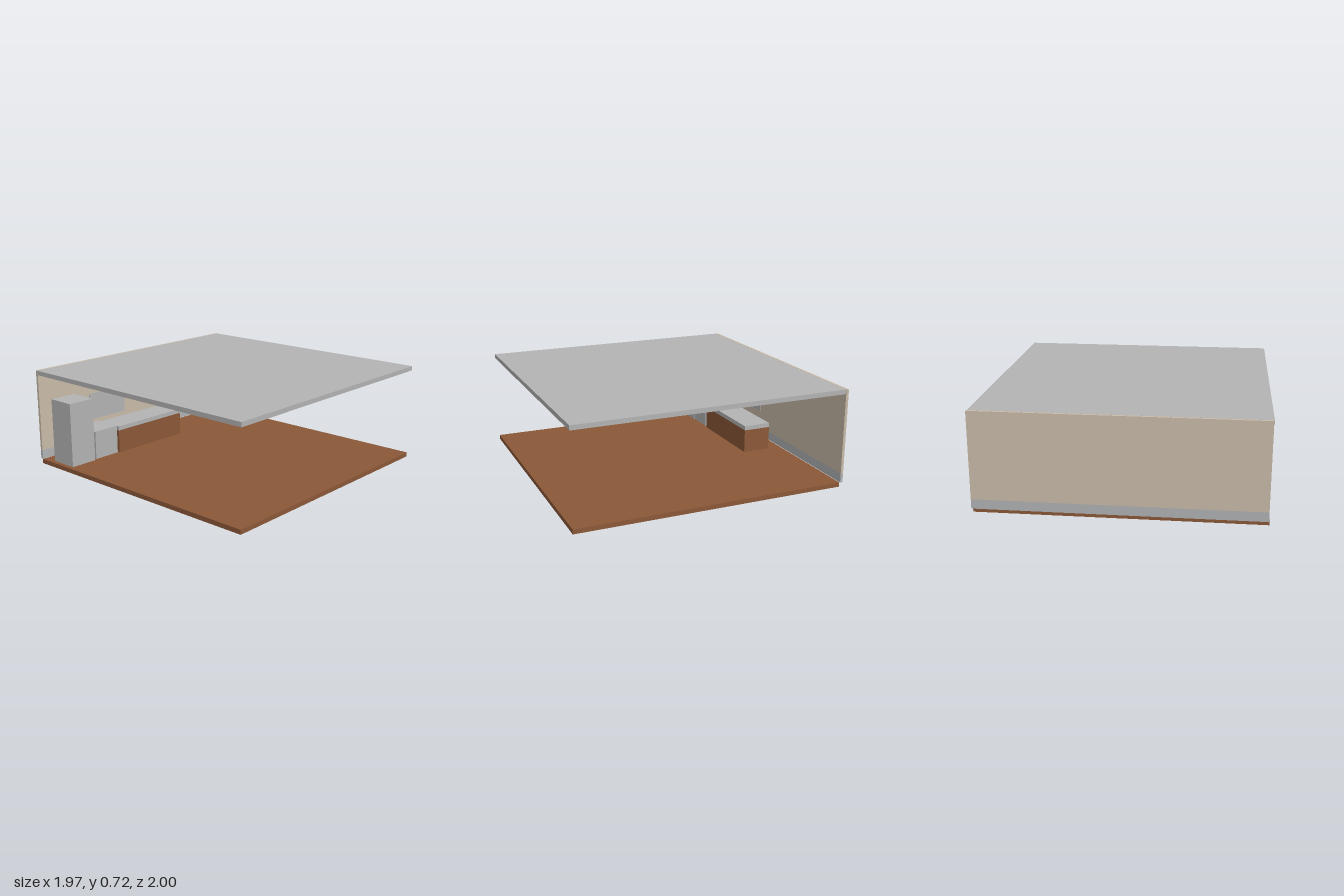
import * as THREE from 'three';

export function createModel() {
  const group = new THREE.Group();
  const mat = (name, color) => {
    const m = new THREE.MeshStandardMaterial({ color });
    m.name = name;
    return m;
  };
  const grey = mat('grey', 0xb3b3b3);
  const skirting = mat('skirtingGrey', 0xb1b3b5);
  const tan = mat('tan', 0xc9bba9);
  const brown = mat('brown', 0x8b5838);

  // Box given by its limits on each axis
  const box = (name, material, [x0, x1], [y0, y1], [z0, z1]) => {
    const mesh = new THREE.Mesh(new THREE.BoxGeometry(x1 - x0, y1 - y0, z1 - z0), material);
    mesh.position.set((x0 + x1) / 2, (y0 + y1) / 2, (z0 + z1) / 2);
    mesh.name = name;
    group.add(mesh);
  };

  // Room shell
  const slabX = [-0.987, 0.982], wallX = [-0.983, 0.987], wallZ = [-1, -0.98];
  box('floor', brown, slabX, [0, 0.033], [-0.976, 1]);
  box('ceiling', grey, slabX, [0.684, 0.717], [-0.979, 1]);
  box('backWall', tan, wallX, [0.1, 0.717], wallZ);
  box('wallBase', skirting, wallX, [0.033, 0.1], wallZ);

  // Kitchen row along the back wall
  const depth = [-0.872, -0.658];
  box('tallCabinet', grey, [-0.953, -0.742], [0.033, 0.513], depth);
  box('lowAppliance', grey, [-0.73, -0.517], [0.039, 0.253], depth);
  box('counterBase', brown, [-0.498, 0.165], [0.033, 0.21], depth);
  box('counterTop', grey, [-0.498, 0.165], [0.21, 0.243], depth);

  // Thin panel on the wall above the counter
  box('wallPanel', grey, [-0.515, -0.153], [0.237, 0.449], [-0.98, -0.976]);

  return group;
}
